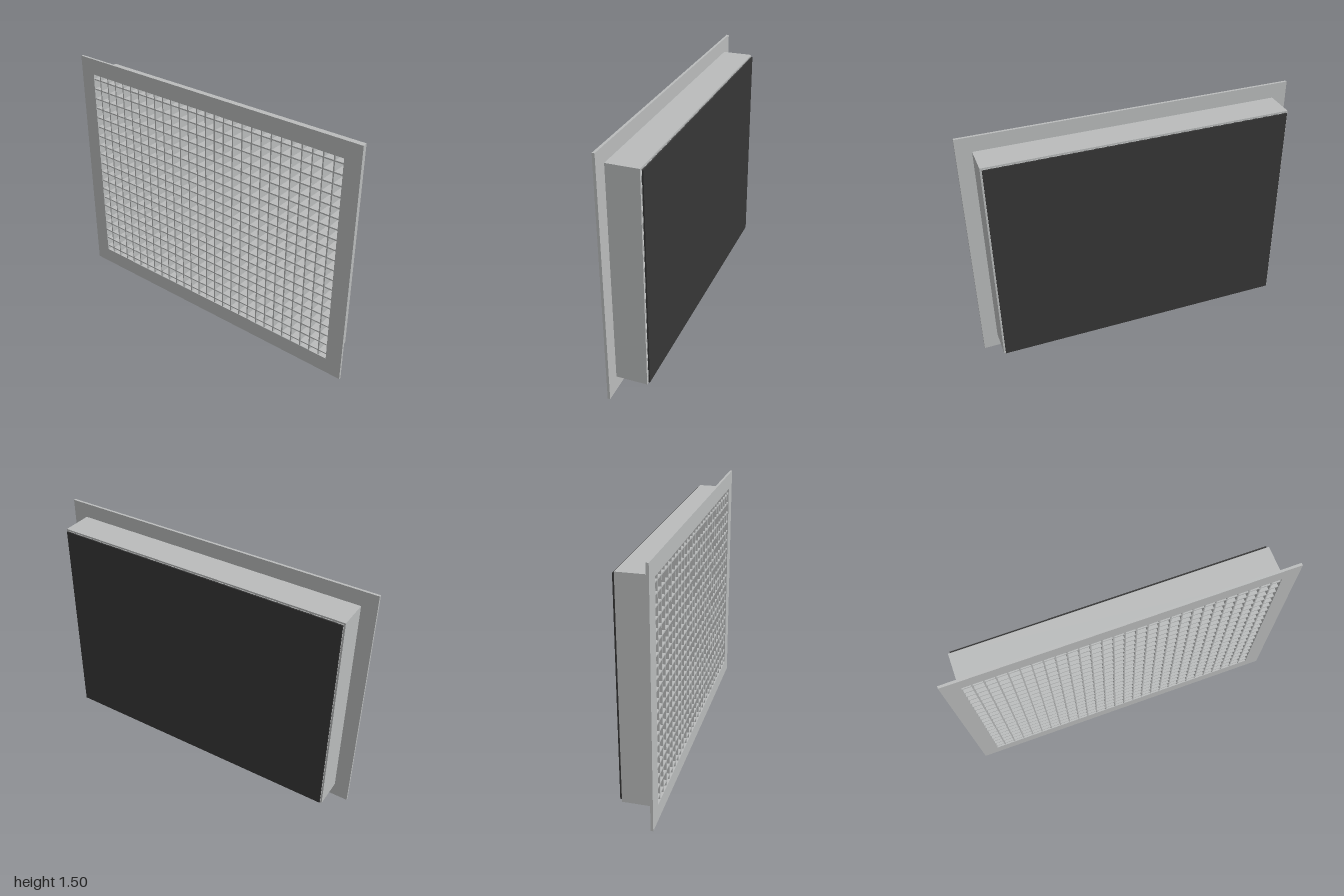
import * as THREE from 'three';

const W = 1.8, H = 1.3, CY = 0.75; // clear opening and its centre height

// Rectangular ring extruded along z from z0 to z1
function ring(name, outerW, outerH, z0, z1, material) {
  const rect = (P, w, h) => {
    const p = new P();
    p.moveTo(-w / 2, -h / 2);
    p.lineTo(w / 2, -h / 2);
    p.lineTo(w / 2, h / 2);
    p.lineTo(-w / 2, h / 2);
    p.closePath();
    return p;
  };
  const shape = rect(THREE.Shape, outerW, outerH);
  shape.holes.push(rect(THREE.Path, W, H));
  const geo = new THREE.ExtrudeGeometry(shape, { depth: z1 - z0, bevelEnabled: false });
  const mesh = new THREE.Mesh(geo, material);
  mesh.position.set(0, CY, z0);
  mesh.name = name;
  return mesh;
}

function box(name, w, h, z0, z1, x, y, material) {
  const mesh = new THREE.Mesh(new THREE.BoxGeometry(w, h, z1 - z0), material);
  mesh.position.set(x, y, (z0 + z1) / 2);
  mesh.name = name;
  return mesh;
}

export function createModel() {
  const metal = new THREE.MeshStandardMaterial({ color: 0xbabcbc });
  metal.name = 'greyMetal';
  const black = new THREE.MeshStandardMaterial({ color: 0x363636 });
  black.name = 'blackBacking';

  const model = new THREE.Group();
  model.name = 'ventGrille';

  // Front flange and the duct collar behind it
  model.add(ring('flange', 2, 1.5, 0.092, 0.107, metal));
  model.add(ring('collar', W + 0.02, H + 0.02, -0.094, 0.092, metal));

  // Egg-crate core: crossing thin bars at an even pitch
  const core = new THREE.Group();
  core.name = 'eggCrateCore';
  const pitch = 0.065, t = 0.008, z0 = -0.092, z1 = 0.104;
  for (let i = -13; i <= 13; i++) {
    core.add(box('verticalBar', t, H, z0, z1, i * pitch, CY, metal));
  }
  for (let j = 0; j < 20; j++) {
    core.add(box('horizontalBar', W, t, z0, z1, 0, CY + (j - 9.5) * pitch, metal));
  }
  model.add(core);

  // Dark plate set just behind the collar
  model.add(box('backPlate', W, H, -0.107, -0.099, 0, CY, black));

  return model;
}
